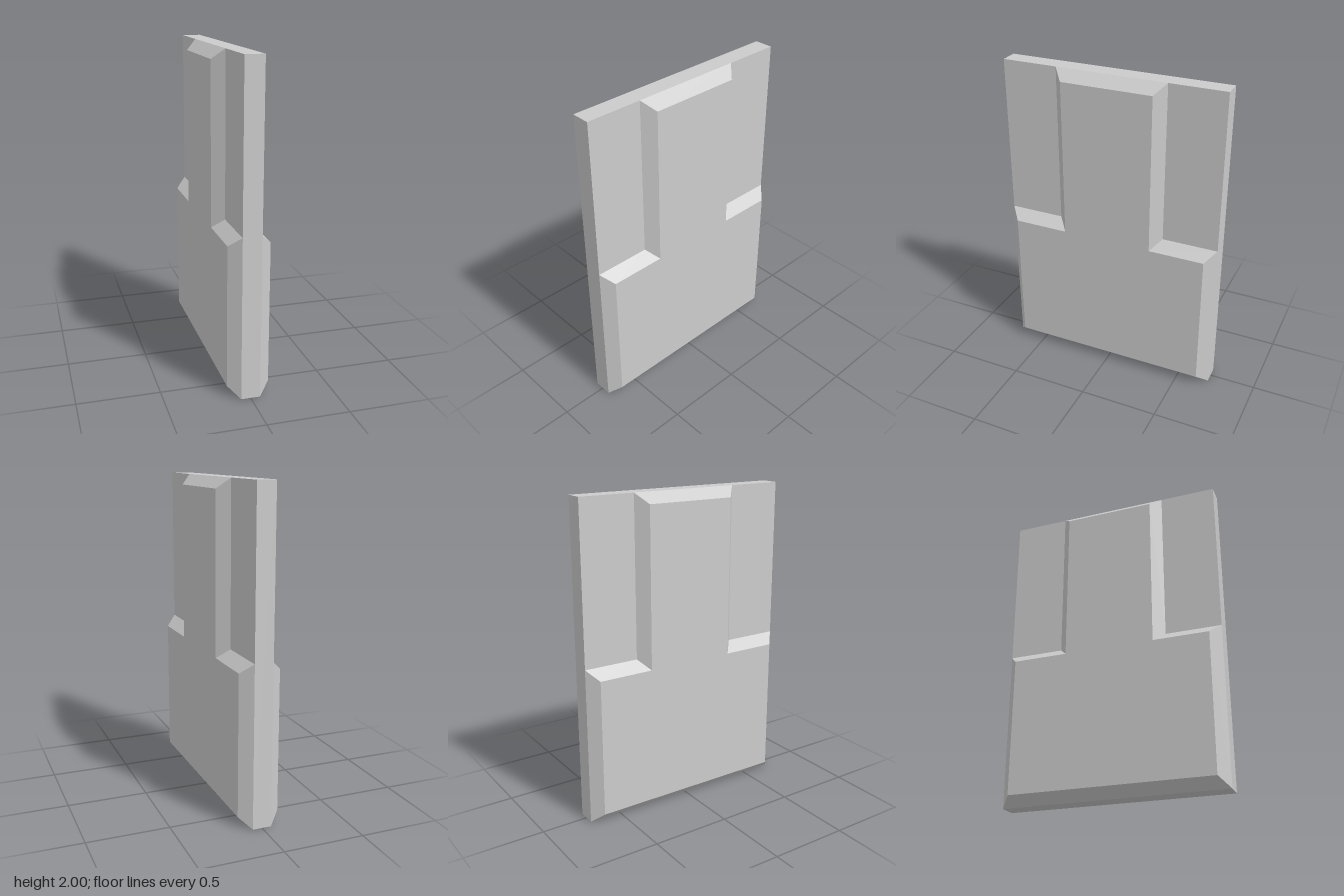
import * as THREE from 'three';

const CORE = 0.058;   // half thickness of the slab
const FACE = 0.128;   // half thickness at the raised panels
const HALF_Z = 0.705;
const STEM_Z = 0.352;
const BEVEL = 0.063;

// Raised inverted-T panel with sloped edges, facing -x
function panelGeometry() {
  const outline = [
    [-HALF_Z, 0], [HALF_Z, 0], [HALF_Z, 1], [STEM_Z, 1],
    [STEM_Z, 2], [-STEM_Z, 2], [-STEM_Z, 1], [-HALF_Z, 1],
  ];
  const rim = outline.map(([z, y]) => [-CORE, y, z]);
  const cap = outline.map(([z, y]) => [
    -FACE, y === 0 ? BEVEL : y - BEVEL, z - Math.sign(z) * BEVEL,
  ]);
  const positions = [];
  const triangle = (a, b, c) => positions.push(...a, ...b, ...c);

  // Sloped edges
  rim.forEach((a, i) => {
    const j = (i + 1) % rim.length;
    triangle(a, rim[j], cap[j]);
    triangle(a, cap[j], cap[i]);
  });

  // Flat face
  const contour = cap.map(([, y, z]) => new THREE.Vector2(z, y));
  for (const [a, b, c] of THREE.ShapeUtils.triangulateShape(contour, [])) {
    triangle(cap[a], cap[b], cap[c]);
  }

  const geometry = new THREE.BufferGeometry();
  geometry.setAttribute('position', new THREE.Float32BufferAttribute(positions, 3));
  geometry.computeVertexNormals();
  return geometry;
}

export function createModel() {
  const group = new THREE.Group();
  group.name = 'steppedSlab';
  const material = new THREE.MeshStandardMaterial({ color: 0xcccccc, flatShading: true });

  // Central slab
  const slab = new THREE.Mesh(new THREE.BoxGeometry(CORE * 2, 2, HALF_Z * 2), material);
  slab.name = 'slab';
  slab.position.y = 1;
  group.add(slab);

  // One raised panel on each broad side
  const geometry = panelGeometry();
  ['rightPanel', 'leftPanel'].forEach((name, i) => {
    const panel = new THREE.Mesh(geometry, material);
    panel.name = name;
    panel.rotation.y = i * Math.PI;
    group.add(panel);
  });

  return group;
}
